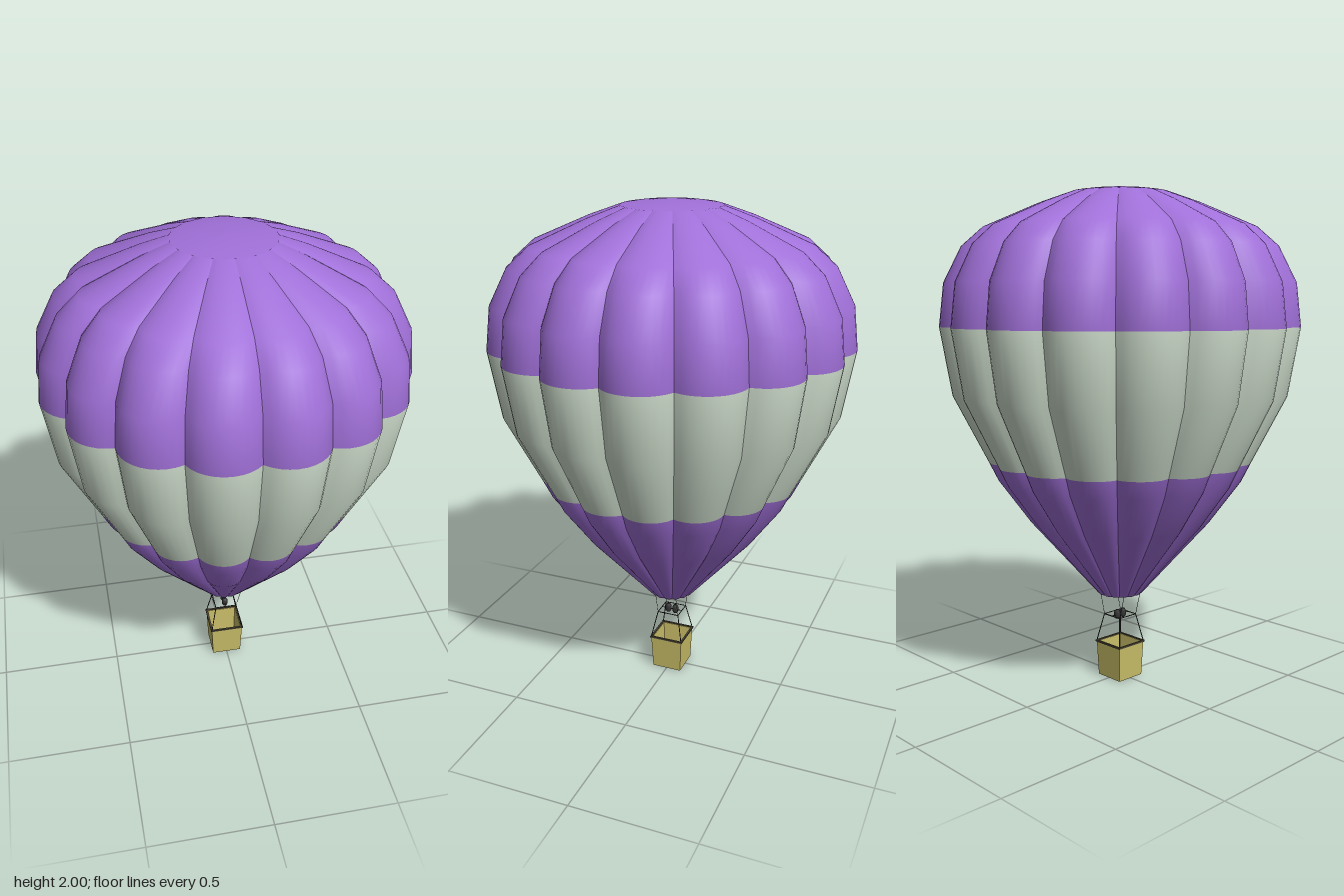
import * as THREE from 'three';

const mat = (color, flatShading = false) =>
  new THREE.MeshStandardMaterial({ color, flatShading, side: THREE.DoubleSide });
const PURPLE = mat(0xa070d8), PALE = mat(0xcddccb), WICKER = mat(0xc8bd68, true);
const TRIM = mat(0x4a4436, true), DARK = mat(0x333333);

const LOBES = 16, STEPS = 10, VALLEY = 0.92;
// Envelope profile: [radius at the lobe crests, height]
const PROFILE = [
  [0.092, 0.36], [0.367, 0.67], [0.495, 0.845], [0.532, 0.92], [0.67, 1.19], [0.716, 1.46],
  [0.696, 1.63], [0.625, 1.77], [0.54, 1.845], [0.32, 1.94], [0.2, 1.983], [0.14, 1.986],
];

function add(parent, name, geometry, material, x = 0, y = 0, z = 0) {
  const mesh = new THREE.Mesh(geometry, material);
  mesh.name = name;
  mesh.position.set(x, y, z);
  parent.add(mesh);
  return mesh;
}

// Thin round bar between two points
function bar(parent, name, a, b, radius, material) {
  const from = new THREE.Vector3(...a), to = new THREE.Vector3(...b);
  const path = new THREE.LineCurve3(from, to);
  return add(parent, name, new THREE.TubeGeometry(path, 1, radius, 6), material);
}

// Each lobe is a circular arc bulging between two valleys, so the valleys stay creased
function envelopeGeometry() {
  const half = Math.PI / LOBES, positions = [];
  for (let lobe = 0; lobe < LOBES; lobe++) {
    const mid = (2 * lobe + 1) * half, c = Math.cos(mid), s = Math.sin(mid);
    for (const [crest, y] of PROFILE) {
      const chord = crest * VALLEY * Math.sin(half);
      const bulge = crest - crest * VALLEY * Math.cos(half);
      const R = (chord * chord + bulge * bulge) / (2 * bulge);
      const sweep = Math.asin(chord / R);
      for (let k = 0; k <= STEPS; k++) {
        const phi = sweep * (2 * k / STEPS - 1);
        const out = crest - R + R * Math.cos(phi), side = R * Math.sin(phi);
        positions.push(out * c - side * s, y, out * s + side * c);
      }
    }
  }
  const geometry = new THREE.BufferGeometry();
  geometry.setAttribute('position', new THREE.Float32BufferAttribute(positions, 3));
  geometry.setIndex(bandIndex(0, PROFILE.length - 1));
  geometry.computeVertexNormals();
  return geometry;
}

// Triangles between two profile rows, around all lobes
function bandIndex(first, last) {
  const index = [], row = STEPS + 1;
  for (let lobe = 0; lobe < LOBES; lobe++)
    for (let j = first; j < last; j++)
      for (let k = 0; k < STEPS; k++) {
        const a = (lobe * PROFILE.length + j) * row + k;
        index.push(a, a + row, a + 1, a + 1, a + row, a + row + 1);
      }
  return index;
}

export function createModel() {
  const model = new THREE.Group();
  model.name = 'hotAirBalloon';

  // Envelope in three colour bands sharing one set of normals
  const envelope = new THREE.Group();
  envelope.name = 'envelope';
  model.add(envelope);
  const skin = envelopeGeometry();
  const band = (name, first, last, material) =>
    add(envelope, name, skin.clone().setIndex(bandIndex(first, last)), material);
  band('lowerBand', 0, 3, PURPLE);
  band('middleBand', 3, 5, PALE);
  band('upperBand', 5, PROFILE.length - 1, PURPLE);

  // Shallow crown cap
  const cap = [[0.195, 1.984], [0.15, 1.991], [0.08, 1.998], [0, 2]];
  add(envelope, 'crownCap',
    new THREE.LatheGeometry(cap.map(([r, y]) => new THREE.Vector2(r, y)), 48), PURPLE);

  // Basket: open, slightly tapered square tub with thin walls
  const basket = new THREE.Group();
  basket.name = 'basket';
  model.add(basket);
  const q = Math.SQRT2;
  const tub = [[0, 0], [0.063, 0], [0.069, 0.145], [0.063, 0.145], [0.058, 0.008], [0, 0.008]];
  add(basket, 'tub', new THREE.LatheGeometry(
    tub.map(([r, y]) => new THREE.Vector2(r * q, y)), 4, Math.PI / 4), WICKER);
  for (const s of [-1, 1]) {
    add(basket, 'rimSide', new THREE.BoxGeometry(0.008, 0.007, 0.146), TRIM, s * 0.069, 0.146, 0);
    add(basket, 'rimEnd', new THREE.BoxGeometry(0.13, 0.007, 0.008), TRIM, 0, 0.146, s * 0.069);
  }

  // Burner frame, uprights from the basket and ropes to the envelope mouth
  const rig = new THREE.Group();
  rig.name = 'rigging';
  model.add(rig);
  const f = 0.046, h = 0.263;
  for (const s of [-1, 1]) {
    bar(rig, 'frameSide', [s * f, h, -f], [s * f, h, f], 0.002, DARK);
    bar(rig, 'frameEnd', [-f, h, s * f], [f, h, s * f], 0.002, DARK);
    for (const t of [-1, 1]) {
      bar(rig, 'upright', [s * 0.069, 0.147, t * 0.069], [s * f, h, t * f], 0.002, DARK);
      bar(rig, 'rope', [s * f, h, t * f], [s * 0.073, 0.365, t * f], 0.001, DARK);
    }
  }
  bar(rig, 'burnerRail', [0, h, -f], [0, h, f], 0.002, DARK);

  // Twin burners: rounded cans
  const can = [[0, -0.018], [0.008, -0.018], [0.013, -0.009], [0.013, 0.009], [0.008, 0.018], [0, 0.018]];
  for (const s of [-1, 1])
    add(rig, 'burner', new THREE.LatheGeometry(
      can.map(([r, y]) => new THREE.Vector2(r, y)), 16), DARK, 0, 0.266, s * 0.016);

  return model;
}
